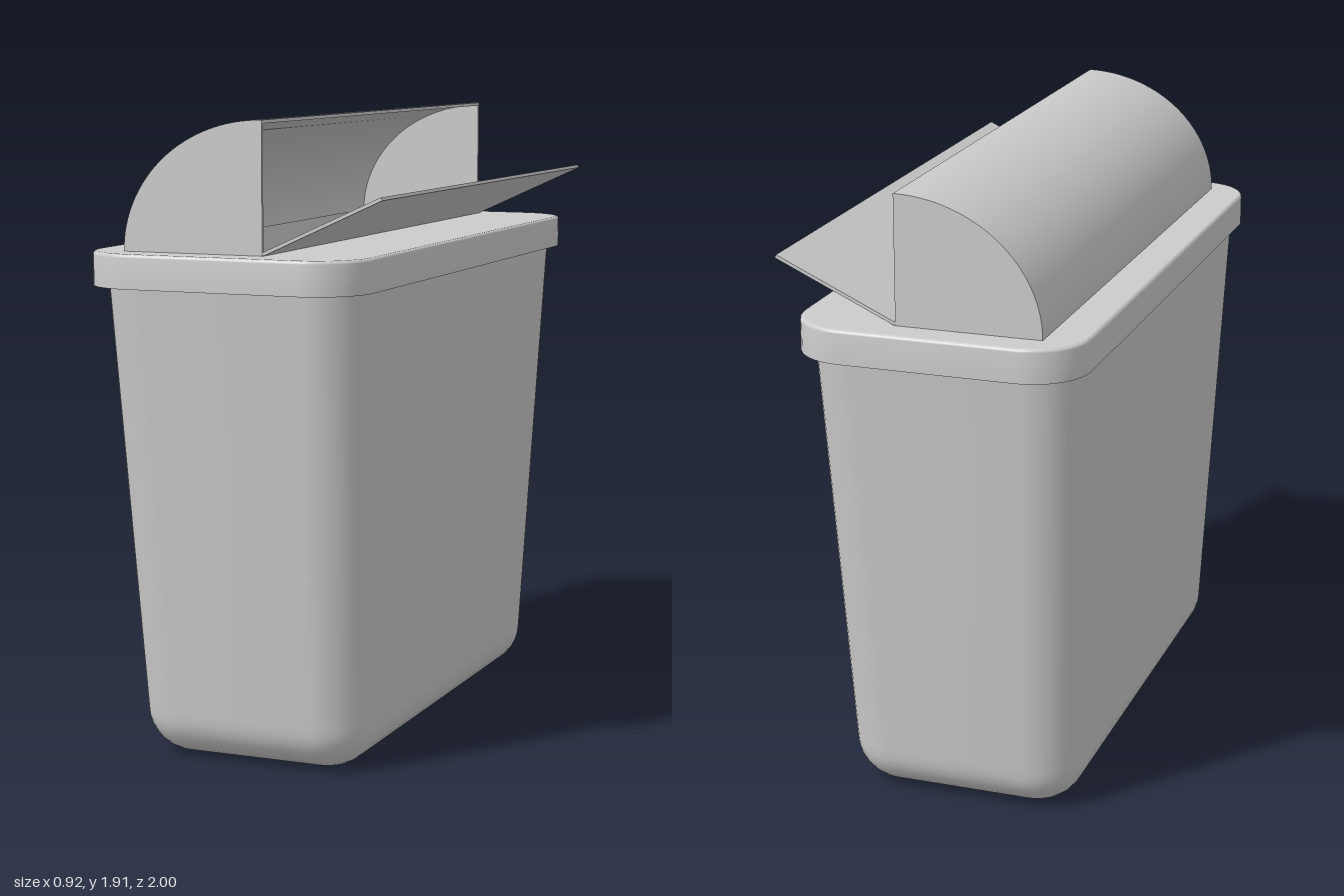
import * as THREE from 'three';
import { toCreasedNormals } from 'three/addons/utils/BufferGeometryUtils.js';

const CX = -0.028; // centre line of bin and rim
const HINGE = 0.095, BACK = -0.34, TOP = 1.53, HOOD_Z = 0.905;

const grey = new THREE.MeshStandardMaterial({ color: 0xcccccc });
const greyDouble = new THREE.MeshStandardMaterial({ color: 0xcccccc, side: THREE.DoubleSide });

function part(name, geometry, material = grey) {
  const mesh = new THREE.Mesh(geometry, material);
  mesh.name = name;
  return mesh;
}

// Points [x, z] round a rectangle with rounded corners (n = 0 keeps them sharp)
function roundedRect(hx, hz, r, n = 10) {
  const points = [];
  [[1, 1], [-1, 1], [-1, -1], [1, -1]].forEach(([sx, sz], corner) => {
    for (let i = 0; i <= n; i++) {
      const a = (corner + (n ? i / n : 0.5)) * Math.PI / 2;
      const k = n ? r : 0;
      points.push([sx * (hx - k) + k * Math.cos(a), sz * (hz - k) + k * Math.sin(a)]);
    }
  });
  return points;
}

// Skin over a stack of rounded rectangles, optionally closed at the first one
function loft(rows, cx, n, closeBottom) {
  const rings = rows.map(({ hx, hz, r }) => roundedRect(hx, hz, r, n));
  const count = rings[0].length, pos = [], index = [];
  rings.forEach((ring, j) => ring.forEach(([x, z]) => pos.push(cx + x, rows[j].y, z)));
  for (let j = 0; j < rows.length - 1; j++) {
    for (let i = 0; i < count; i++) {
      const a = j * count + i, b = j * count + (i + 1) % count;
      index.push(a, a + count, b, b, a + count, b + count);
    }
  }
  if (closeBottom) {
    const c = pos.length / 3;
    pos.push(cx, rows[0].y, 0);
    for (let i = 0; i < count; i++) index.push(c, i, (i + 1) % count);
  }
  const g = new THREE.BufferGeometry();
  g.setAttribute('position', new THREE.Float32BufferAttribute(pos, 3));
  g.setIndex(index);
  g.computeVertexNormals();
  return toCreasedNormals(g, 0.6);
}

// Tapered bin with a rounded bottom edge
function binBody() {
  const R = 0.14, rows = [];
  for (let i = 0; i <= 8; i++) {
    const a = (i / 8) * Math.PI / 2, inset = R * (1 - Math.sin(a));
    rows.push({ y: R * (1 - Math.cos(a)), hx: 0.365 - inset, hz: 0.8 - inset, r: 0.155 - inset });
  }
  rows.push({ y: 1.52, hx: 0.411, hz: 0.942, r: 0.155 });
  return part('binBody', loft(rows, CX, 10, true));
}

// Skirt round the top, with a softened upper edge
function rimSkirt() {
  const hx = 0.43, hz = 1, r = 0.17, t = 0.018, bevel = 0.01;
  const rows = [
    { y: 1.52, hx: hx - t, hz: hz - t, r: r - t },
    { y: 1.43, hx: hx - t, hz: hz - t, r: r - t },
    { y: 1.43, hx, hz, r },
  ];
  for (let i = 0; i <= 4; i++) {
    const a = (i / 4) * Math.PI / 2, inset = bevel * (1 - Math.cos(a));
    rows.push({ y: TOP - bevel + bevel * Math.sin(a), hx: hx - inset, hz: hz - inset, r: r - inset });
  }
  return part('rimSkirt', loft(rows, CX, 10, false));
}

// Flat top with the opening under the hood
function rimTop() {
  const shape = new THREE.Shape(roundedRect(0.42, 0.99, 0.16).map(([x, z]) => new THREE.Vector2(x + CX, z)));
  const mid = (BACK + HINGE) / 2, half = (HINGE - BACK) / 2 - 0.005;
  shape.holes.push(new THREE.Path(
    roundedRect(half, HOOD_Z - 0.01, 0, 0).map(([x, z]) => new THREE.Vector2(x + mid, z))));
  const g = new THREE.ShapeGeometry(shape);
  g.rotateX(-Math.PI / 2).translate(0, TOP, 0);
  return part('rimTop', g, greyDouble);
}

// Sharp-cornered cavity below the opening
function cavity() {
  const mid = (BACK + HINGE) / 2, half = (HINGE - BACK) / 2 - 0.005;
  return part('cavity', loft([
    { y: 0.05, hx: half - 0.04, hz: 0.73, r: 0 },
    { y: TOP, hx: half, hz: HOOD_Z - 0.01, r: 0 },
  ], mid, 0, true), greyDouble);
}

// Quarter-round hood: thin curved shell and two end walls, open towards the flap
function hood() {
  const group = new THREE.Group();
  group.name = 'hood';
  const t = 0.01, a = HINGE - BACK, b = 0.38;
  const arc = (inset) => Array.from({ length: 33 }, (_, i) => {
    const u = (i / 32) * Math.PI / 2;
    return new THREE.Vector2(HINGE - (a - inset) * Math.cos(u), TOP + (b - inset) * Math.sin(u));
  });
  const extrude = (points, depth, z) => {
    const g = new THREE.ExtrudeGeometry(new THREE.Shape(points), { depth, bevelEnabled: false });
    return toCreasedNormals(g.translate(0, 0, z), 0.6);
  };
  group.add(part('hoodShell', extrude([...arc(0), ...arc(t).reverse()], 2 * (HOOD_Z - t), -HOOD_Z + t)));
  const wall = [...arc(0), new THREE.Vector2(HINGE, TOP)];
  group.add(part('hoodLeftEnd', extrude(wall, t, HOOD_Z - t)));
  group.add(part('hoodRightEnd', extrude(wall, t, -HOOD_Z)));
  return group;
}

// Flap tilted outwards from its hinge
function flap() {
  const length = 0.395, thickness = 0.01;
  const g = new THREE.BoxGeometry(length, thickness, 2 * HOOD_Z).translate(length / 2, thickness / 2, 0);
  const mesh = part('flap', g);
  mesh.position.set(HINGE + 0.003, TOP, 0);
  mesh.rotation.z = 0.43;
  return mesh;
}

export function createModel() {
  const model = new THREE.Group();
  model.name = 'flapBin';
  model.add(binBody(), rimSkirt(), rimTop(), cavity(), hood(), flap());
  return model;
}
